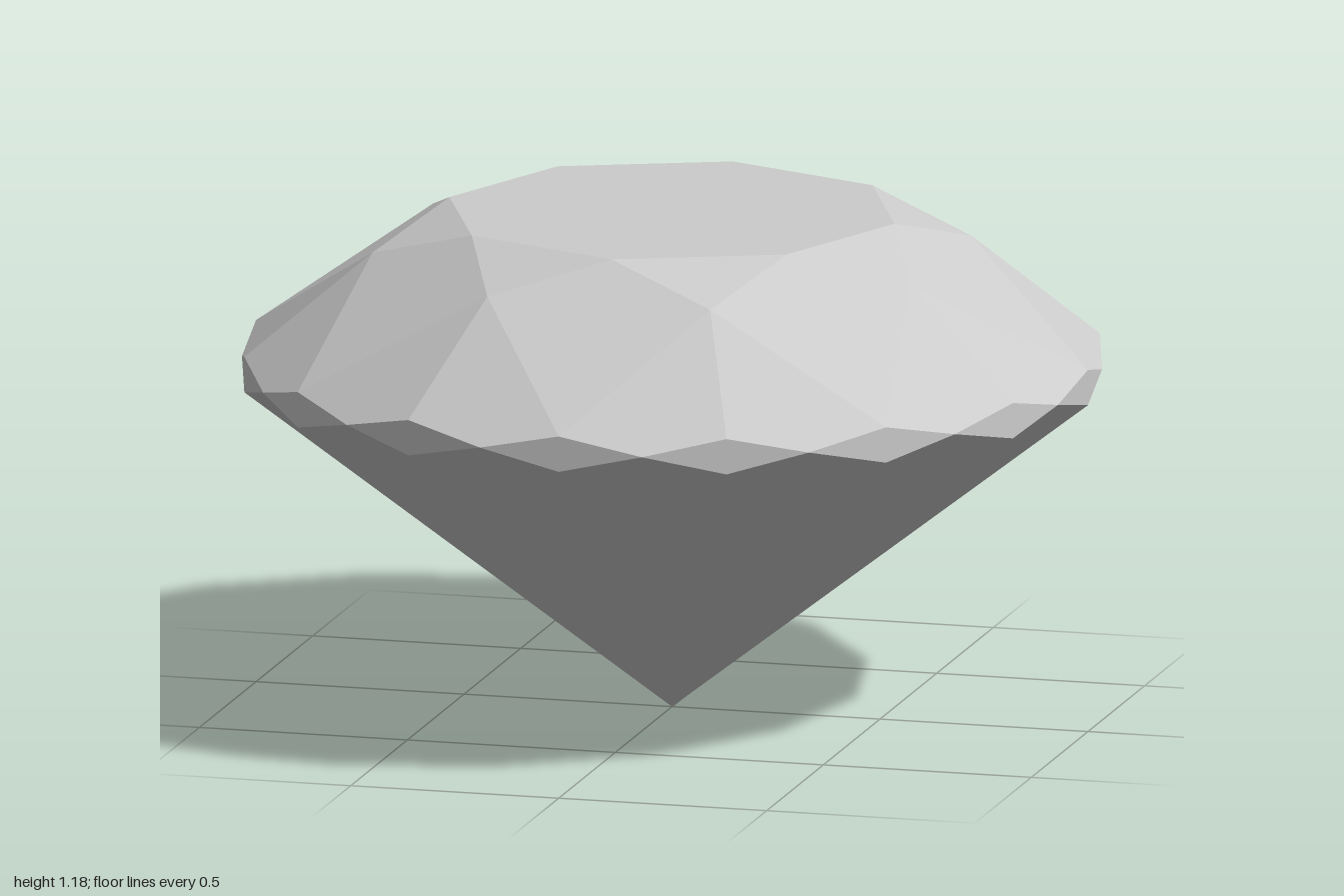
import * as THREE from 'three';

const STEP = Math.PI / 8; // sixteen divisions around the stone

// Point on a ring: k counts sixteenths of a turn from the front
const ring = (radius, y) => (k) =>
  new THREE.Vector3(radius * Math.sin(k * STEP), y, radius * Math.cos(k * STEP));

const table = ring(0.535, 1.18);
const star = ring(0.7, 1.1);
const girdleTop = ring(1, 0.86);
const girdleMid = ring(1, 0.818);
const girdleLow = ring(1, 0.776);
const culet = new THREE.Vector3(0, 0, 0);

// Builds a mesh from polygon facets (counter-clockwise from outside), one normal per facet
function facetMesh(name, facets, material) {
  const positions = [];
  const normals = [];
  for (const corners of facets) {
    const normal = new THREE.Vector3();
    corners.forEach((p, i) => {
      normal.add(p.clone().cross(corners[(i + 1) % corners.length]));
    });
    normal.normalize();
    for (let i = 1; i < corners.length - 1; i++) {
      for (const p of [corners[0], corners[i], corners[i + 1]]) {
        positions.push(p.x, p.y, p.z);
        normals.push(normal.x, normal.y, normal.z);
      }
    }
  }
  const geometry = new THREE.BufferGeometry();
  geometry.setAttribute('position', new THREE.Float32BufferAttribute(positions, 3));
  geometry.setAttribute('normal', new THREE.Float32BufferAttribute(normals, 3));
  const mesh = new THREE.Mesh(geometry, material);
  mesh.name = name;
  return mesh;
}

export function createModel() {
  const material = new THREE.MeshStandardMaterial({ color: 0xcccccc });
  const tableFacet = [];
  const stars = [];
  const kites = [];
  const upperHalves = [];
  const girdle = [];
  const pavilion = [];

  // Eight-fold crown facets
  for (let k = 0; k < 16; k += 2) {
    tableFacet.push(table(k));
    stars.push([table(k), star(k + 1), table(k + 2)]);
    kites.push([girdleTop(k), star(k + 1), table(k), star(k - 1)]);
  }

  // Sixteen-fold facets around the scalloped girdle
  for (let k = 0; k < 16; k++) {
    const starPoint = star(k % 2 ? k : k + 1);
    upperHalves.push([girdleTop(k), girdleMid(k + 0.5), girdleTop(k + 1), starPoint]);
    girdle.push([girdleLow(k), girdleMid(k + 0.5), girdleTop(k), girdleMid(k - 0.5)]);
    pavilion.push([girdleLow(k), culet, girdleLow(k + 1), girdleMid(k + 0.5)]);
  }

  const gem = new THREE.Group();
  gem.name = 'gem';
  gem.add(
    facetMesh('table', [tableFacet], material),
    facetMesh('starFacets', stars, material),
    facetMesh('kiteFacets', kites, material),
    facetMesh('upperHalfFacets', upperHalves, material),
    facetMesh('girdle', girdle, material),
    facetMesh('pavilion', pavilion, material),
  );
  return gem;
}
